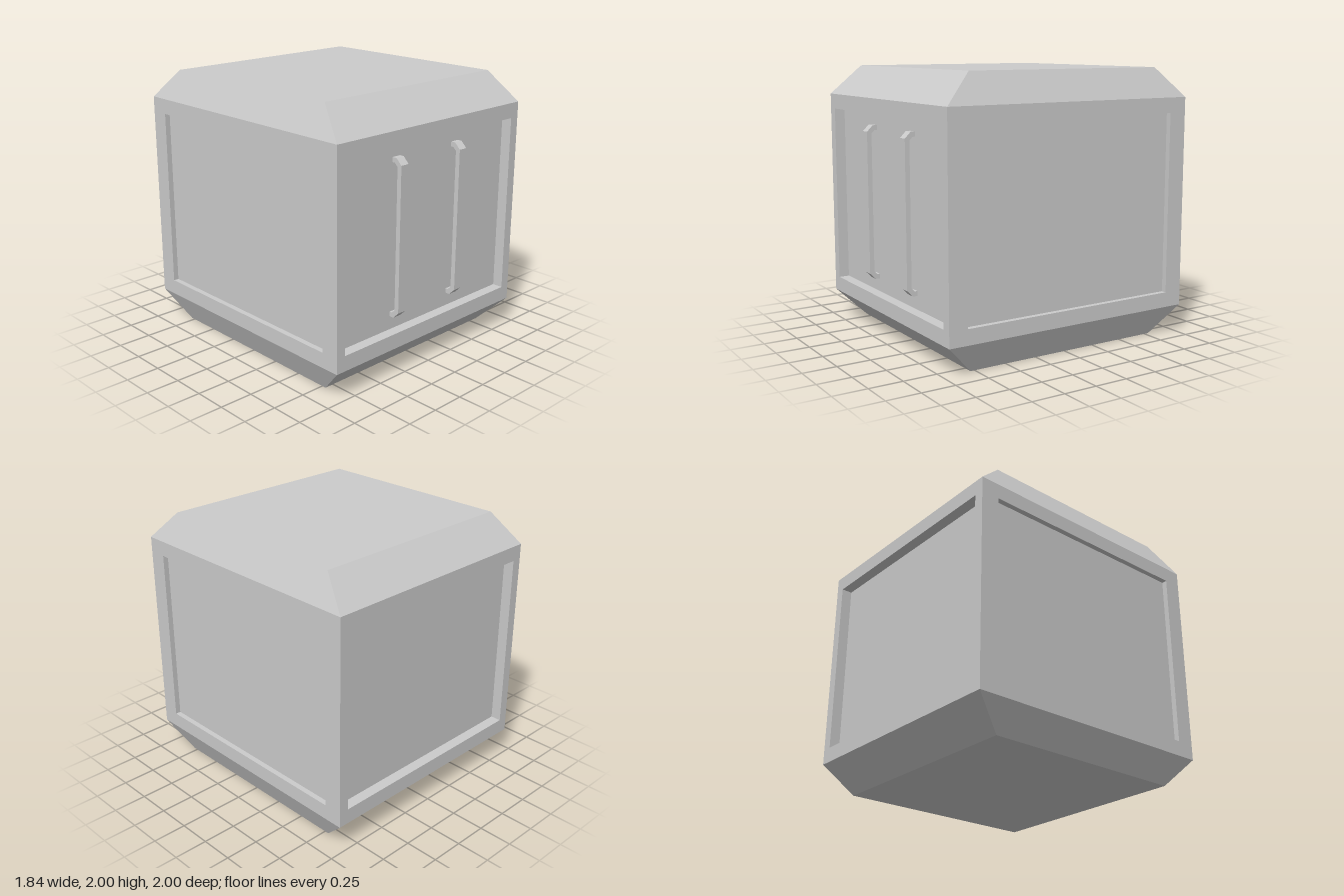
import * as THREE from 'three';

const material = new THREE.MeshStandardMaterial({ color: 0xcccccc, flatShading: true });

// Joins nested rectangles [halfWidth, halfHeight, distance] into a faceted surface, closed at the last one.
function nestedRects(rects) {
  const corners = ([w, h, d]) => [[-w, -h, d], [w, -h, d], [w, h, d], [-w, h, d]];
  const pos = [];
  const quad = (a, b, c, d) => pos.push(...a, ...b, ...c, ...a, ...c, ...d);
  const loops = rects.map(corners);
  for (let i = 0; i < loops.length - 1; i++) {
    for (let k = 0; k < 4; k++) {
      const n = (k + 1) % 4;
      quad(loops[i][k], loops[i][n], loops[i + 1][n], loops[i + 1][k]);
    }
  }
  quad(...loops[loops.length - 1]);
  const g = new THREE.BufferGeometry();
  g.setAttribute('position', new THREE.Float32BufferAttribute(pos, 3));
  g.computeVertexNormals();
  return g;
}

// Side outline of a pull handle: a bar with chamfered ends standing off the panel.
function handleGeometry(width, halfLength, depth, chamfer, thickness) {
  const L = halfLength, c = chamfer, t = thickness, s = t * 0.41;
  const half = [[L, 0], [L, depth - c], [L - c, depth]];
  const inner = [[L - c - s, depth - t], [L - t, depth - c - s], [L - t, 0]];
  const flip = (pts) => pts.map(([y, z]) => [-y, z]).reverse();
  const outline = [...half, ...flip(half), ...flip(inner), ...inner];
  // Shape x becomes depth (+z), shape y stays up
  const shape = new THREE.Shape(outline.map(([y, z]) => new THREE.Vector2(z, y)));
  const g = new THREE.ExtrudeGeometry(shape, { depth: width, bevelEnabled: false });
  g.translate(0, 0, -width / 2);
  g.rotateY(-Math.PI / 2);
  return g;
}

export function createModel() {
  const model = new THREE.Group();
  model.name = 'crate';

  const body = new THREE.Group();
  body.name = 'body';
  body.position.y = 1;
  model.add(body);

  // Walls with a recessed panel, and sloping top and bottom caps
  const endWall = nestedRects([[0.92, 0.783, 1], [0.845, 0.67, 1], [0.845, 0.67, 0.92]]);
  const sideWall = nestedRects([[1, 0.783, 0.92], [0.86, 0.67, 0.92], [0.86, 0.67, 0.88]]);
  const cap = nestedRects([[0.92, 1, 0.783], [0.82, 0.783, 1]]);
  const faces = [
    ['frontWall', endWall, 0, 0],
    ['backWall', endWall, 0, Math.PI],
    ['leftWall', sideWall, 0, Math.PI / 2],
    ['rightWall', sideWall, 0, -Math.PI / 2],
    ['topCap', cap, -Math.PI / 2, 0],
    ['bottomCap', cap, Math.PI / 2, 0],
  ];
  for (const [name, geometry, rx, ry] of faces) {
    const mesh = new THREE.Mesh(geometry, material);
    mesh.name = name;
    mesh.rotation.set(rx, ry, 0);
    body.add(mesh);
  }

  // Pair of upright handles inside the front recess
  const handle = handleGeometry(0.07, 0.575, 0.08, 0.045, 0.035);
  for (const side of [-1, 1]) {
    const mesh = new THREE.Mesh(handle, material);
    mesh.name = side > 0 ? 'leftHandle' : 'rightHandle';
    mesh.position.set(0.3 * side, 1.005, 0.92);
    model.add(mesh);
  }
  return model;
}
